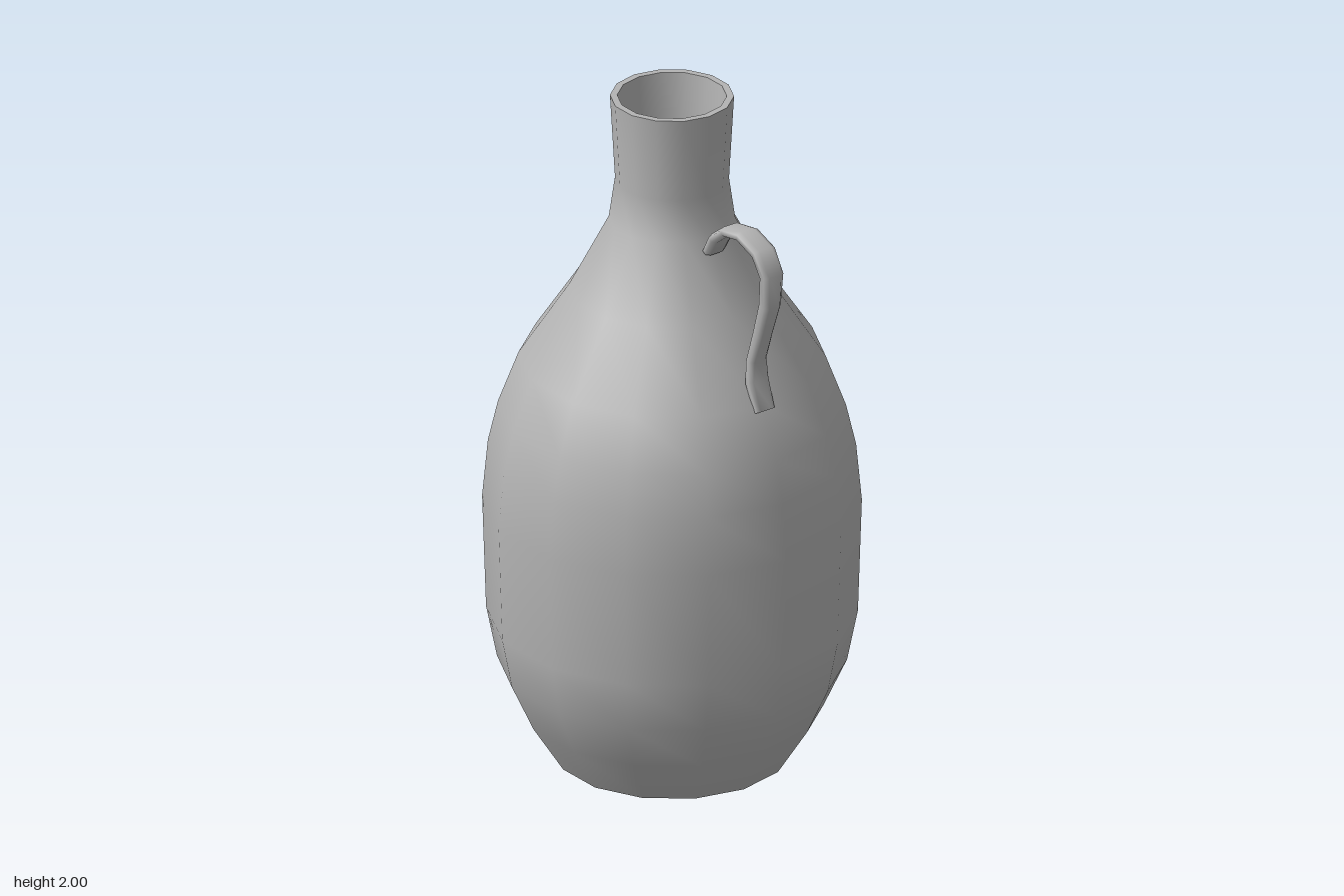
import * as THREE from 'three';

const SIDES = 14;

export function createModel() {
  const jug = new THREE.Group();
  jug.name = 'jug';
  const clay = new THREE.MeshStandardMaterial({ color: 0xb4b4b4 });
  clay.name = 'greyClay';

  const add = (name, geometry) => {
    const mesh = new THREE.Mesh(geometry, clay);
    mesh.name = name;
    jug.add(mesh);
  };
  // Each lathe is a separate smooth surface, so the joins stay sharp
  const turn = (name, profile) => add(name, new THREE.LatheGeometry(
    profile.map(([r, y]) => new THREE.Vector2(r, y)), SIDES, Math.PI / SIDES));

  turn('base', [[0, 0], [0.33, 0]]);
  turn('body', [
    [0.33, 0], [0.42, 0.14], [0.485, 0.28], [0.515, 0.43], [0.526, 0.77],
    [0.51, 0.94], [0.482, 1.06], [0.425, 1.21], [0.285, 1.42],
    [0.175, 1.63], [0.158, 1.75], [0.172, 2],
  ]);
  turn('rim', [[0.172, 2], [0.152, 2]]);
  turn('neckInside', [[0.152, 2], [0.138, 1.85], [0.13, 1.6]]);
  turn('neckFloor', [[0.13, 1.6], [0, 1.6]]);

  add('handle', handleGeometry());
  return jug;
}

// Strap swept along a path in the xy plane, with a chamfered cross-section
function handleGeometry() {
  // x, y, half thickness, half width
  const path = [
    [0.192, 1.6, 0.014, 0.034], [0.222, 1.652, 0.015, 0.036],
    [0.275, 1.692, 0.015, 0.036], [0.345, 1.704, 0.015, 0.036],
    [0.42, 1.678, 0.016, 0.036], [0.458, 1.62, 0.018, 0.034],
    [0.45, 1.53, 0.022, 0.03], [0.417, 1.43, 0.02, 0.027],
    [0.388, 1.34, 0.016, 0.029], [0.39, 1.275, 0.014, 0.035],
    [0.425, 1.195, 0.01, 0.032],
  ];
  const section = [[1, 0.6], [0.5, 1], [-0.5, 1], [-1, 0.6],
    [-1, -0.6], [-0.5, -1], [0.5, -1], [1, -0.6]];
  const n = section.length;
  const positions = [], index = [];

  path.forEach(([x, y, thick, wide], i) => {
    const a = path[Math.max(i - 1, 0)], b = path[Math.min(i + 1, path.length - 1)];
    const length = Math.hypot(b[0] - a[0], b[1] - a[1]);
    const nx = -(b[1] - a[1]) / length, ny = (b[0] - a[0]) / length;
    for (const [u, v] of section) {
      positions.push(x + nx * u * thick, y + ny * u * thick, v * wide);
    }
    if (i === 0) return;
    for (let j = 0; j < n; j++) {
      const k = (j + 1) % n, p = (i - 1) * n, q = i * n;
      index.push(p + j, p + k, q + j, p + k, q + k, q + j);
    }
  });
  // End caps
  const last = (path.length - 1) * n;
  for (let j = 1; j < n - 1; j++) {
    index.push(0, j + 1, j, last, last + j, last + j + 1);
  }

  const geometry = new THREE.BufferGeometry();
  geometry.setAttribute('position', new THREE.Float32BufferAttribute(positions, 3));
  geometry.setIndex(index);
  geometry.computeVertexNormals();
  return geometry;
}
